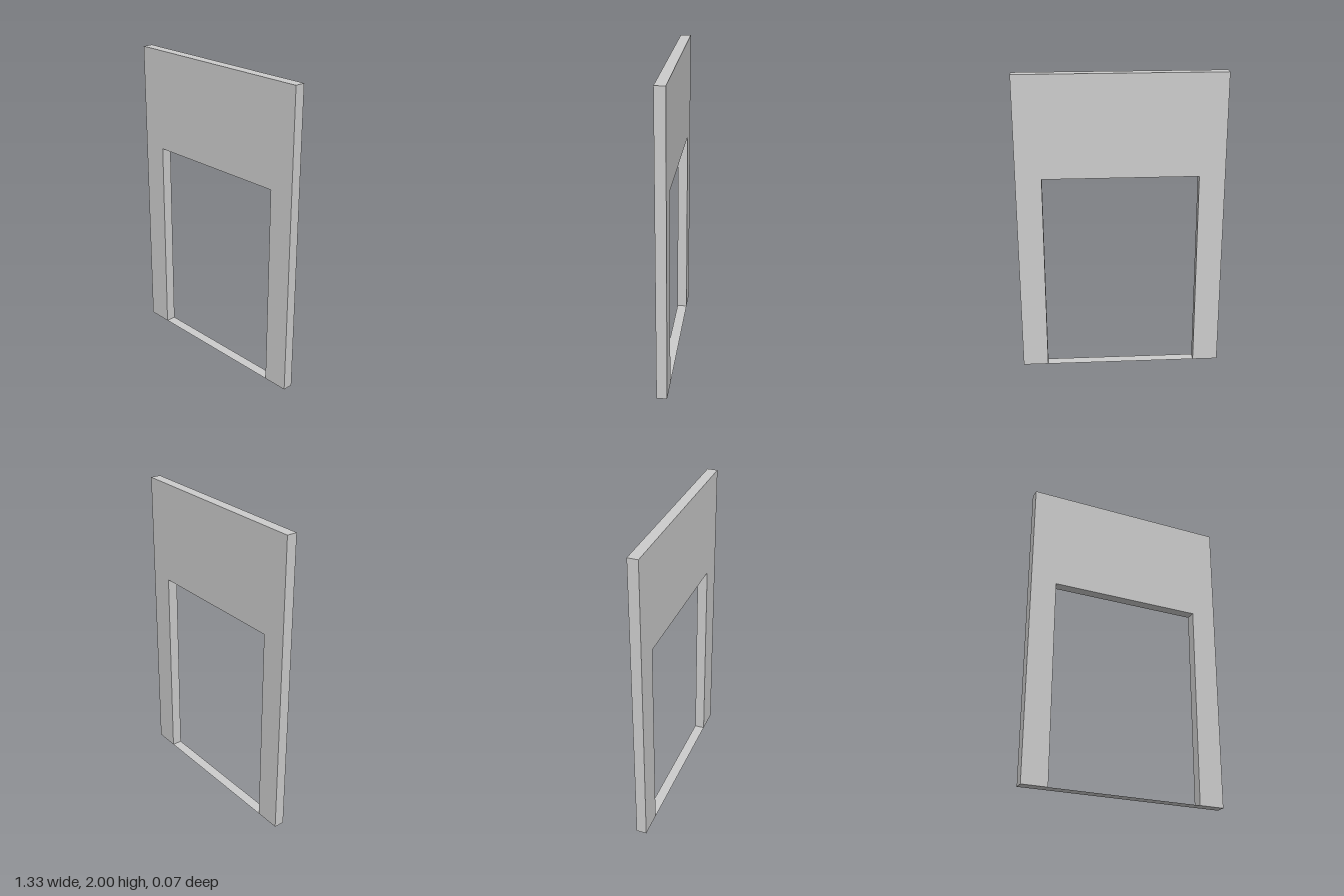
import * as THREE from 'three';

const WIDTH = 1.333, HEIGHT = 2, DEPTH = 0.067;
const OPENING_WIDTH = 1, OPENING_HEIGHT = 1.335;

export function createModel() {
  const group = new THREE.Group();
  group.name = 'doorwayWall';
  const material = new THREE.MeshStandardMaterial({ color: 0xcccccc });
  const w = WIDTH / 2, o = OPENING_WIDTH / 2;

  // Wall panel outlined around the doorway, extruded to its thickness
  const outline = new THREE.Shape([
    [-w, 0], [-o, 0], [-o, OPENING_HEIGHT], [o, OPENING_HEIGHT],
    [o, 0], [w, 0], [w, HEIGHT], [-w, HEIGHT],
  ].map(([x, y]) => new THREE.Vector2(x, y)));
  const wallGeometry = new THREE.ExtrudeGeometry(outline, { depth: DEPTH, bevelEnabled: false });
  wallGeometry.translate(0, 0, -DEPTH / 2);
  const wall = new THREE.Mesh(wallGeometry, material);
  wall.name = 'wallPanel';
  group.add(wall);

  // Paper-thin threshold lying on the ground across the doorway
  const thresholdMaterial = material.clone();
  thresholdMaterial.side = THREE.DoubleSide;
  const threshold = new THREE.Mesh(new THREE.PlaneGeometry(OPENING_WIDTH, DEPTH), thresholdMaterial);
  threshold.name = 'threshold';
  threshold.rotation.x = -Math.PI / 2;
  group.add(threshold);

  return group;
}
